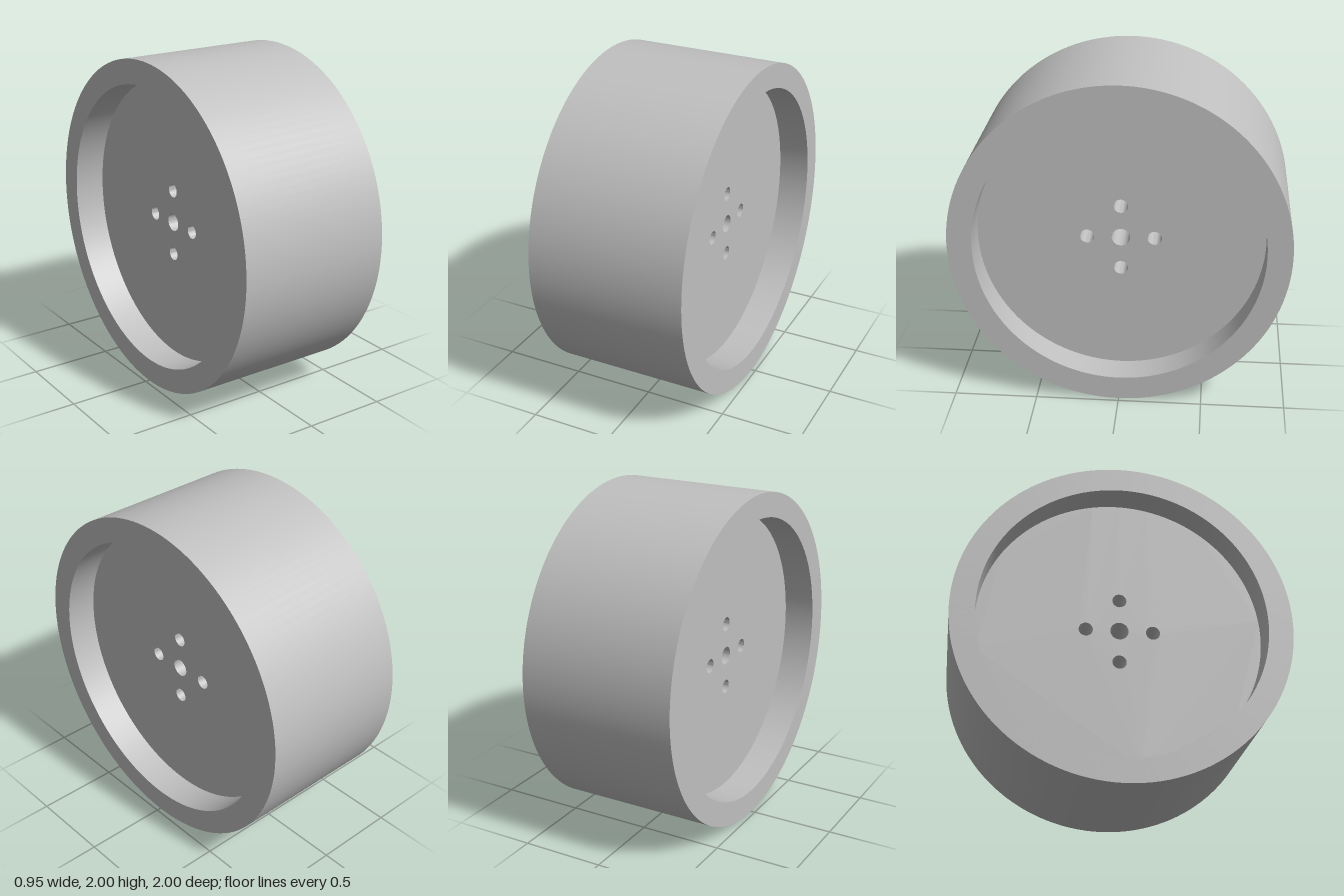
import * as THREE from 'three';
import { toCreasedNormals } from 'three/addons/utils/BufferGeometryUtils.js';

const RADIUS = 1, INNER = 0.853, HALF_WIDTH = 0.474, HALF_WEB = 0.284;
const BORES = [
  { name: 'axleBore', x: 0, z: 0, r: 0.054 },
  ...[0, 1, 2, 3].map((i) => ({
    name: 'boltHole' + (i + 1),
    x: 0.2 * Math.round(Math.cos(i * Math.PI / 2)),
    z: 0.2 * Math.round(Math.sin(i * Math.PI / 2)),
    r: 0.042,
  })),
];

// Revolves [radius, height] points around y, keeping hard corners sharp
function revolve(points, segments) {
  const profile = points.map(([r, y]) => new THREE.Vector2(r, y));
  return toCreasedNormals(new THREE.LatheGeometry(profile, segments), 0.6);
}

export function createModel() {
  const grey = new THREE.MeshStandardMaterial({ color: 0xc0c0c0 });
  grey.name = 'plain grey';

  // Built around y, then turned so the axle runs along x
  const wheel = new THREE.Group();
  wheel.name = 'wheel';
  wheel.rotation.z = -Math.PI / 2;
  wheel.position.y = RADIUS;
  const add = (name, geometry) => {
    const mesh = new THREE.Mesh(geometry, grey);
    mesh.name = name;
    wheel.add(mesh);
    return mesh;
  };

  // Tread, both side rings and the recess walls
  add('rim', revolve([
    [INNER, -HALF_WEB], [INNER, -HALF_WIDTH], [RADIUS, -HALF_WIDTH],
    [RADIUS, HALF_WIDTH], [INNER, HALF_WIDTH], [INNER, HALF_WEB],
  ], 128));

  // Recessed faces of the thick web, pierced by the holes
  const face = new THREE.Shape().absarc(0, 0, INNER, 0, Math.PI * 2, false);
  for (const { x, z, r } of BORES) {
    face.holes.push(new THREE.Path().absarc(x, z, r, 0, Math.PI * 2, true));
  }
  for (const side of [1, -1]) {
    const geometry = new THREE.ShapeGeometry(face, 64);
    geometry.rotateX(-side * Math.PI / 2);
    geometry.translate(0, side * HALF_WEB, 0);
    add(side > 0 ? 'leftWebFace' : 'rightWebFace', geometry);
  }

  // Hole walls, running top to bottom so they face inward
  for (const { name, x, z, r } of BORES) {
    add(name, revolve([[r, HALF_WEB], [r, -HALF_WEB]], 64)).position.set(x, 0, z);
  }

  const model = new THREE.Group();
  model.name = 'wheelModel';
  model.add(wheel);
  return model;
}
